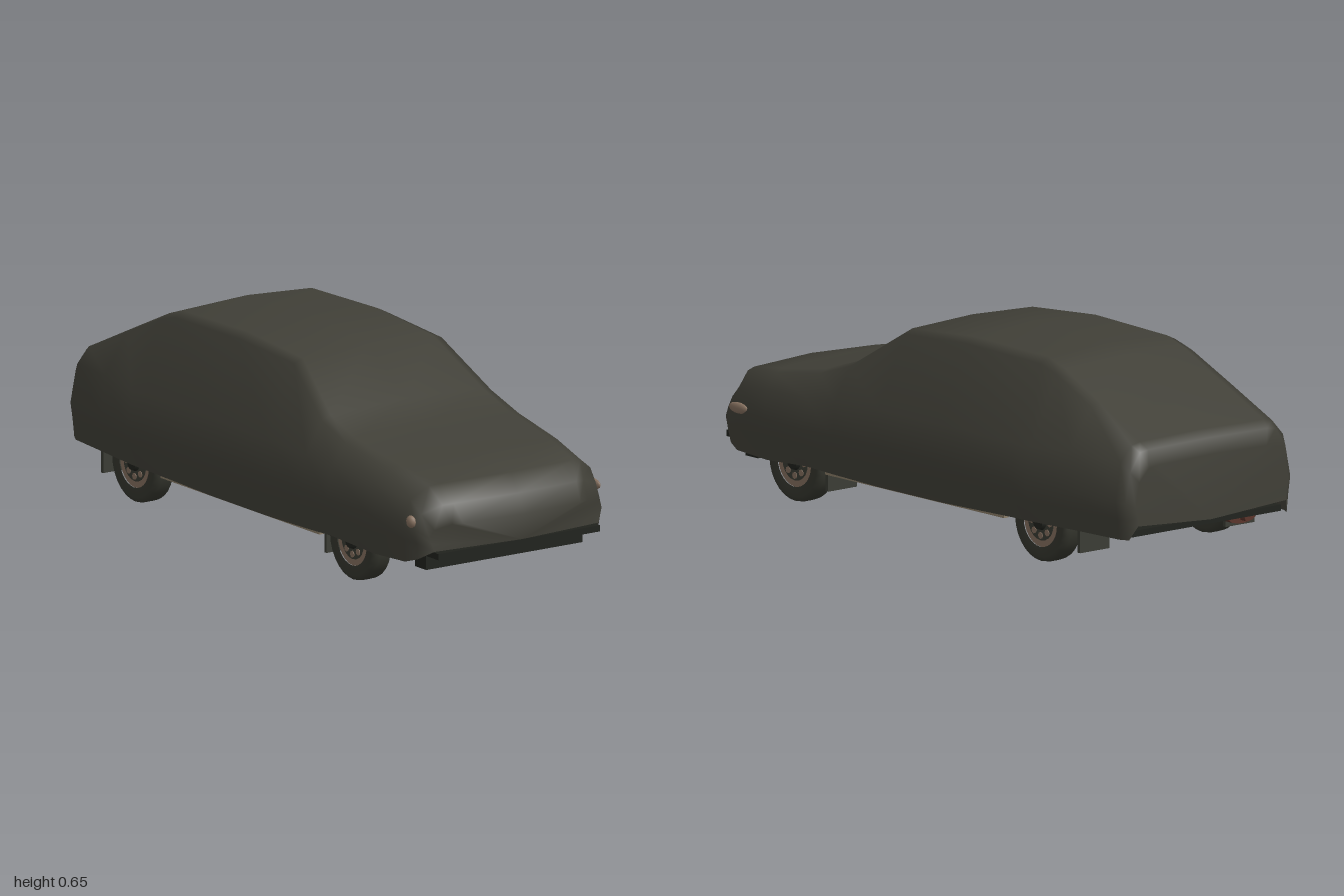
import * as THREE from 'three';

const mat = (name, color, side = THREE.FrontSide) => {
  const m = new THREE.MeshStandardMaterial({ color, side });
  m.name = name;
  return m;
};

export function createModel() {
  const car = new THREE.Group();
  car.name = 'coveredCar';
  const cloth = mat('coverCloth', 0x403f37, THREE.DoubleSide);
  const rubber = mat('tyreRubber', 0x35362e);
  const dark = mat('underbodyBlack', 0x20221d);
  const grey = mat('chassisGrey', 0x3a3c34);
  const tan = mat('wheelTan', 0x85705f);
  const rust = mat('rustyExhaust', 0x5a342b);
  const sand = mat('sillSand', 0x8a7d68);

  const add = (name, geo, material, x = 0, y = 0, z = 0, parent = car) => {
    const m = new THREE.Mesh(geo, material);
    m.name = name;
    m.position.set(x, y, z);
    parent.add(m);
    return m;
  };
  const box = (name, material, x, y, z, w, h, d) =>
    add(name, new THREE.BoxGeometry(w, h, d), material, x, y, z);

  // Fabric cover: z, crown y, shoulder x/y, waist x/y, bulge x/y, hem x/y
  const stations = [
    [1.0, 0.25, 0.26, 0.25, 0.315, 0.235, 0.33, 0.21, 0.315, 0.165],
    [0.965, 0.31, 0.27, 0.305, 0.335, 0.28, 0.355, 0.23, 0.345, 0.135],
    [0.925, 0.37, 0.29, 0.36, 0.345, 0.32, 0.37, 0.25, 0.36, 0.12],
    [0.75, 0.4, 0.32, 0.385, 0.37, 0.34, 0.39, 0.25, 0.37, 0.115],
    [0.5, 0.44, 0.33, 0.42, 0.385, 0.35, 0.405, 0.25, 0.385, 0.13],
    [0.36, 0.487, 0.325, 0.465, 0.385, 0.36, 0.4, 0.25, 0.385, 0.125],
    [0.15, 0.62, 0.283, 0.597, 0.385, 0.37, 0.4, 0.25, 0.385, 0.12],
    [-0.15, 0.647, 0.285, 0.615, 0.385, 0.37, 0.4, 0.25, 0.385, 0.12],
    [-0.5, 0.638, 0.28, 0.607, 0.39, 0.37, 0.41, 0.25, 0.39, 0.13],
    [-0.58, 0.61, 0.28, 0.585, 0.388, 0.37, 0.408, 0.25, 0.388, 0.13],
    [-0.75, 0.528, 0.285, 0.51, 0.37, 0.38, 0.385, 0.25, 0.37, 0.13],
    [-0.95, 0.432, 0.29, 0.42, 0.335, 0.37, 0.355, 0.25, 0.34, 0.125],
    [-0.98, 0.408, 0.28, 0.4, 0.32, 0.34, 0.34, 0.24, 0.325, 0.125],
    [-1.0, 0.36, 0.26, 0.35, 0.3, 0.31, 0.315, 0.23, 0.305, 0.17],
  ];
  const pos = [], idx = [];
  const ringSize = 13;
  stations.forEach(([z, top, sx, sy, wx, wy, bx, by, hx, hy]) => {
    const half = [
      [hx, hy], [bx - 0.008, by - 0.06 * (by - hy) / 0.13], [bx, by],
      [wx, wy], [sx, sy], [sx - 0.035, top - (top - sy) * 0.45],
    ];
    const ring = [...half, [0, top], ...half.map(([x, y]) => [-x, y]).reverse()];
    // The nose is bowed in plan
    const bow = 0.05 * Math.max(0, Math.min(1, (z - 0.5) / 0.4));
    ring.forEach(([x, y]) => pos.push(x, y, z - bow * Math.pow(Math.abs(x) / 0.33, 3)));
  });
  for (let j = 0; j < stations.length - 1; j++) {
    for (let i = 0; i < ringSize - 1; i++) {
      const a = j * ringSize + i, c = a + ringSize;
      idx.push(a, c, a + 1, a + 1, c, c + 1);
    }
  }
  // Close the nose and tail
  const nose = pos.length / 3, tail = nose + 1;
  const last = (stations.length - 1) * ringSize;
  pos.push(0, 0.165, 0.985, 0, 0.15, -0.995);
  for (let i = 0; i < ringSize - 1; i++) {
    idx.push(nose, i, i + 1, tail, last + i + 1, last + i);
  }
  const coverGeo = new THREE.BufferGeometry();
  coverGeo.setAttribute('position', new THREE.Float32BufferAttribute(pos, 3));
  coverGeo.setIndex(idx);
  coverGeo.computeVertexNormals();
  add('fabricCover', coverGeo, cloth);

  // Lamps just poking through the cloth
  const lamp = new THREE.SphereGeometry(1, 12, 8);
  add('rightLamp', lamp, tan, -0.358, 0.255, 0.89).scale.set(0.013, 0.02, 0.02);
  add('leftLamp', lamp, tan, 0.372, 0.26, 0.84).scale.set(0.01, 0.018, 0.045);

  // Floor with open wheel wells
  box('floorPan', dark, 0, 0.14, -0.02, 0.56, 0.02, 1.88);
  box('frontApron', dark, 0, 0.12, 0.86, 0.6, 0.06, 0.06);
  box('engineTray', dark, 0, 0.115, 0.66, 0.4, 0.05, 0.3);
  box('frontValance', dark, 0, 0.15, 0.92, 0.62, 0.02, 0.1);
  box('tailPan', dark, 0, 0.14, -0.87, 0.62, 0.02, 0.2);
  for (const s of [-1, 1]) {
    box('sideFloor', dark, s * 0.325, 0.14, -0.01, 0.1, 0.02, 0.86);
    box('sill', sand, s * 0.368, 0.125, -0.01, 0.018, 0.018, 0.86);
    box('chassisRail', grey, s * 0.2, 0.122, 0.22, 0.035, 0.03, 0.42);
    box('rearRail', grey, s * 0.22, 0.125, -0.6, 0.03, 0.03, 0.5);
    box('frontMudflap', grey, s * 0.3, 0.1, 0.43, 0.12, 0.085, 0.012);
    box('rearMudflap', grey, s * 0.3, 0.1, -0.78, 0.12, 0.085, 0.012);
  }
  box('crossMember', grey, 0, 0.12, 0.4, 0.5, 0.025, 0.05);
  box('floorPatch', rust, 0.24, 0.129, 0.18, 0.07, 0.006, 0.16);
  box('fuelTank', rust, 0.04, 0.128, -0.47, 0.22, 0.02, 0.14);

  // Axles
  for (const z of [0.58, -0.6]) {
    add('axle', new THREE.CylinderGeometry(0.018, 0.018, 0.6, 10), grey, 0, 0.13, z).rotation.z = Math.PI / 2;
  }
  add('differential', new THREE.SphereGeometry(0.04, 12, 8), dark, 0, 0.13, -0.6);

  // Exhaust pipe and silencers
  const path = new THREE.CatmullRomCurve3([
    [-0.1, 0.12, 0.58], [-0.09, 0.11, 0.4], [-0.03, 0.11, 0.2], [-0.03, 0.11, -0.05],
    [-0.06, 0.11, -0.35], [-0.14, 0.12, -0.5], [-0.19, 0.115, -0.75], [-0.19, 0.12, -0.95],
  ].map((p) => new THREE.Vector3(...p)));
  add('exhaustPipe', new THREE.TubeGeometry(path, 40, 0.011, 8), rust);
  const silencer = (name, x, z, length, width) => {
    const m = add(name, new THREE.CylinderGeometry(0.5, 0.5, 1, 14), rust, x, 0.118, z);
    m.rotation.x = Math.PI / 2;
    m.scale.set(width, length, 0.036);
  };
  silencer('middleSilencer', -0.03, 0.05, 0.18, 0.075);
  silencer('rearSilencer', -0.19, -0.85, 0.15, 0.11);

  // Wheels: lathe tyre, dished rim, slots and hub
  const tyreProfile = [
    [0.08, -0.033], [0.112, -0.037], [0.126, -0.028], [0.128, -0.015],
    [0.128, 0.015], [0.126, 0.028], [0.112, 0.037], [0.08, 0.033],
  ].map((p) => new THREE.Vector2(...p));
  const tyreGeo = new THREE.LatheGeometry(tyreProfile, 28);
  const rimGeo = new THREE.CylinderGeometry(0.081, 0.081, 0.058, 24);
  const dishGeo = new THREE.CylinderGeometry(0.06, 0.06, 0.004, 20);
  const slotGeo = new THREE.CylinderGeometry(0.011, 0.011, 0.004, 8);
  const hubGeo = new THREE.CylinderGeometry(0.022, 0.028, 0.016, 14);
  for (const s of [-1, 1]) {
    for (const z of [0.58, -0.6]) {
      const wheel = new THREE.Group();
      wheel.name = (z > 0 ? 'front' : 'rear') + (s > 0 ? 'Left' : 'Right') + 'Wheel';
      wheel.position.set(s * 0.332, 0.129, z);
      wheel.rotation.z = -s * Math.PI / 2;
      add('tyre', tyreGeo, rubber, 0, 0, 0, wheel);
      add('rim', rimGeo, tan, 0, 0, 0, wheel);
      add('rimDish', dishGeo, grey, 0, 0.029, 0, wheel);
      add('hub', hubGeo, dark, 0, 0.036, 0, wheel);
      for (let k = 0; k < 8; k++) {
        const a = (k / 8) * Math.PI * 2;
        add('rimBoss', slotGeo, tan, 0.044 * Math.cos(a), 0.031, 0.044 * Math.sin(a), wheel);
      }
      car.add(wheel);
    }
  }
  return car;
}
